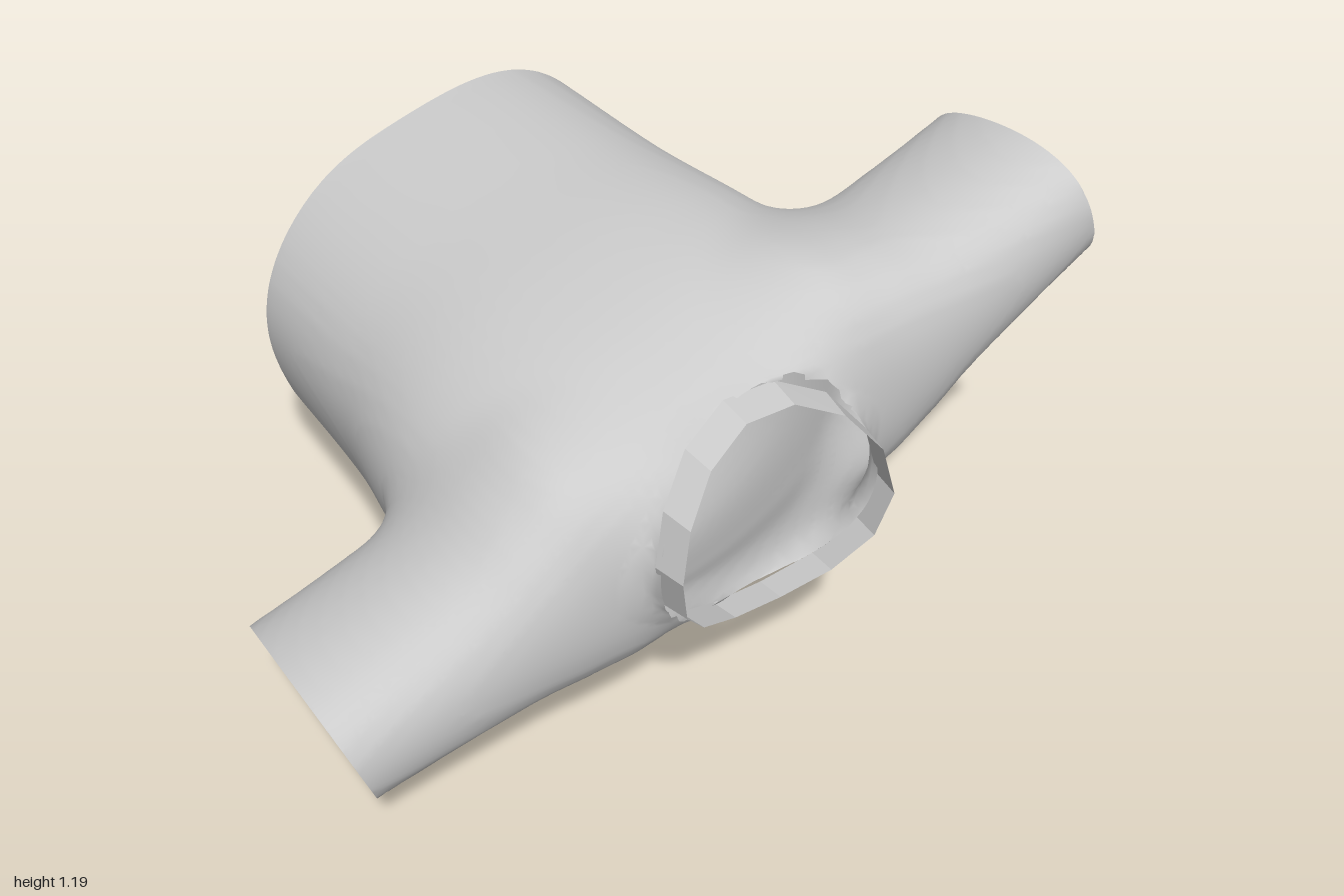
import * as THREE from 'three';

const TILT = 0.36; // the shoulder line leans, left side up
const UX = Math.cos(TILT), UY = Math.sin(TILT);
const SHOULDER_Y = 0.72;
const CUFF = 1.01;  // where the sleeves end along the shoulder line
const SKEW = 0.1;   // chest and back sit off centre
const EGG = 0.08;   // sleeves are fuller towards the front
const BLEND = 0.1;  // reach of the soft join at the armholes
const NECK = { x: -0.015, y: 0.705, z: 0.66 };

// Turns [position, ...values] stations into a smooth lookup
function stations(list) {
  const size = list[0].length - 1;
  const curve = new THREE.CubicInterpolant(
    new Float32Array(list.map(s => s[0])),
    new Float32Array(list.flatMap(s => s.slice(1))), size);
  return t => curve.evaluate(t);
}

// z: centre x, centre y, half width, height above and below the centre
const bodyAt = stations([
  [-0.75, 0.03, 0.57, 0.54, 0.47, 0.565],
  [-0.30, 0.025, 0.57, 0.55, 0.48, 0.54],
  [0.10, 0.01, 0.585, 0.585, 0.475, 0.475],
  [0.35, 0.00, 0.65, 0.56, 0.395, 0.37],
  [0.50, 0.00, 0.69, 0.49, 0.325, 0.28],
  [0.60, -0.01, 0.705, 0.39, 0.275, 0.255],
  [0.66, NECK.x, NECK.y, 0.285, 0.262, 0.262],
]);

// distance along the shoulder line: half height, centre z, half depth
const sleeveAt = stations([
  [0.00, 0.15, 0.36, 0.15],
  [0.20, 0.25, 0.36, 0.23],
  [0.35, 0.29, 0.37, 0.27],
  [0.47, 0.255, 0.372, 0.275],
  [0.60, 0.21, 0.368, 0.27],
  [0.80, 0.175, 0.355, 0.268],
  [CUFF, 0.155, 0.338, 0.265],
]);

function bodyField(x, y, z) {
  const [cx, cy, a, above, below] = bodyAt(z);
  const v = (y - cy) * UX - (x - cx) * UY;
  const u = (x - cx) * UX + (y - cy) * UY - SKEW * v * v;
  // flat across the back, rounder in front, circular at the neck
  const soft = THREE.MathUtils.smoothstep(z, 0.3, 0.66);
  const n = v > 0 ? 2.6 - 0.5 * soft : 1.8 + 0.2 * soft;
  const b = v > 0 ? above : below;
  return ((Math.abs(u / a) ** n + Math.abs(v / b) ** n) ** (1 / n) - 1) * b;
}

function sleeveField(x, y, z) {
  const along = Math.abs(x * UX + (y - SHOULDER_Y) * UY);
  const [h, cz, d] = sleeveAt(along);
  const v = ((y - SHOULDER_Y) * UX - x * UY) / h;
  const w = (z - cz - EGG * Math.min(1, v * v)) / d;
  return (Math.hypot(v, w) - 1) * Math.min(h, d);
}

// Torso and sleeves joined with a soft crease
function skinField(x, y, z) {
  const a = bodyField(x, y, z), b = sleeveField(x, y, z);
  const near = Math.max(0, 1 - Math.abs(a - b) / BLEND);
  return Math.min(a, b) - near * near * BLEND / 4;
}

// Saddle shaped neckline
const necklineAt = angle => NECK.z + 0.1 * (Math.cos(angle) ** 2 - 0.5);

// Pulls a point back to the hem, cuff or neckline; true if it lay beyond
function trim(p) {
  const s = p.x * UX + (p.y - SHOULDER_Y) * UY;
  const over = Math.abs(s) - CUFF;
  if (over > 0) {
    p.x -= Math.sign(s) * over * UX;
    p.y -= Math.sign(s) * over * UY;
    return true;
  }
  const angle = Math.atan2(p.y - 0.57, p.x - 0.03);
  const hem = -0.72 - 0.05 * Math.sin(angle) + 0.008 * Math.sin(5 * angle);
  if (p.z < hem) {
    p.z = hem;
    return true;
  }
  const dx = p.x - NECK.x, dy = p.y - NECK.y;
  const neckline = necklineAt(Math.atan2(dy, dx));
  if (p.z > neckline && Math.hypot(dx, dy) < 0.33) {
    p.z = neckline;
    return true;
  }
  return false;
}

// Skin where the field is zero: one point per crossed cell, one quad per crossed edge
function skinGeometry(min, max, step) {
  const n = [0, 1, 2].map(i => Math.ceil((max[i] - min[i]) / step) + 1);
  const stride = [1, n[0], n[0] * n[1]];
  const values = new Float32Array(n[0] * n[1] * n[2]);
  const eachNode = visit => {
    for (let k = 0, id = 0; k < n[2]; k++)
      for (let j = 0; j < n[1]; j++)
        for (let i = 0; i < n[0]; i++, id++) visit([i, j, k], id);
  };
  eachNode((g, id) => {
    values[id] = skinField(...g.map((c, i) => min[i] + c * step));
  });

  const points = [], beyond = [], cellPoint = new Map();
  eachNode((g, id) => {
    if (g.some((c, i) => c === n[i] - 1)) return;
    const sum = [0, 0, 0];
    let count = 0;
    for (let corner = 0; corner < 8; corner++)
      for (let d = 0; d < 3; d++) {
        if (corner >> d & 1) continue;
        const o = [corner & 1, corner >> 1 & 1, corner >> 2 & 1];
        const from = id + o[0] + o[1] * stride[1] + o[2] * stride[2];
        const f0 = values[from], f1 = values[from + stride[d]];
        if (f0 < 0 === f1 < 0) continue;
        o[d] = f0 / (f0 - f1);
        o.forEach((c, i) => { sum[i] += c; });
        count++;
      }
    if (!count) return;
    const p = new THREE.Vector3(...g.map((c, i) => min[i] + (c + sum[i] / count) * step));
    cellPoint.set(id, points.length);
    beyond.push(trim(p));
    points.push(p);
  });

  const index = [];
  const face = (...ids) => {
    if (!ids.every(i => beyond[i])) index.push(...ids);
  };
  eachNode((g, id) => {
    for (let d = 0; d < 3; d++) {
      const e = (d + 1) % 3, f = (d + 2) % 3;
      if (g[d] === n[d] - 1 || !g[e] || !g[f] || g[e] === n[e] - 1 || g[f] === n[f] - 1) continue;
      const inside = values[id] < 0;
      if (inside === values[id + stride[d]] < 0) continue;
      const quad = [id - stride[e] - stride[f], id - stride[f], id, id - stride[e]]
        .map(cell => cellPoint.get(cell));
      if (!inside) quad.reverse();
      face(quad[0], quad[1], quad[2]);
      face(quad[0], quad[2], quad[3]);
    }
  });
  const geometry = new THREE.BufferGeometry().setFromPoints(points);
  geometry.setIndex(index);
  geometry.computeVertexNormals();
  return geometry;
}

// Short faceted band following the neckline
function collarGeometry(sides) {
  const points = [], index = [];
  for (let c = 0; c < sides; c++) {
    const angle = c / sides * Math.PI * 2, next = (c + 1) % sides;
    for (const [radius, lift] of [[0.282, -0.012], [0.268, 0.066]])
      points.push(new THREE.Vector3(NECK.x + radius * 1.03 * Math.cos(angle),
        NECK.y + radius * Math.sin(angle), necklineAt(angle) + lift));
    index.push(c * 2, next * 2, c * 2 + 1, next * 2, next * 2 + 1, c * 2 + 1);
  }
  const geometry = new THREE.BufferGeometry().setFromPoints(points);
  geometry.setIndex(index);
  geometry.computeVertexNormals();
  return geometry;
}

export function createModel() {
  const group = new THREE.Group();
  group.name = 'shirt';
  const add = (name, geometry, flatShading) => {
    const mesh = new THREE.Mesh(geometry, new THREE.MeshStandardMaterial({
      color: 0xcccccc, side: THREE.DoubleSide, flatShading }));
    mesh.name = name;
    group.add(mesh);
  };
  add('torsoAndSleeves', skinGeometry([-1.15, -0.1, -0.85], [1.15, 1.35, 0.85], 0.025), false);
  add('collar', collarGeometry(14), true);
  return group;
}
